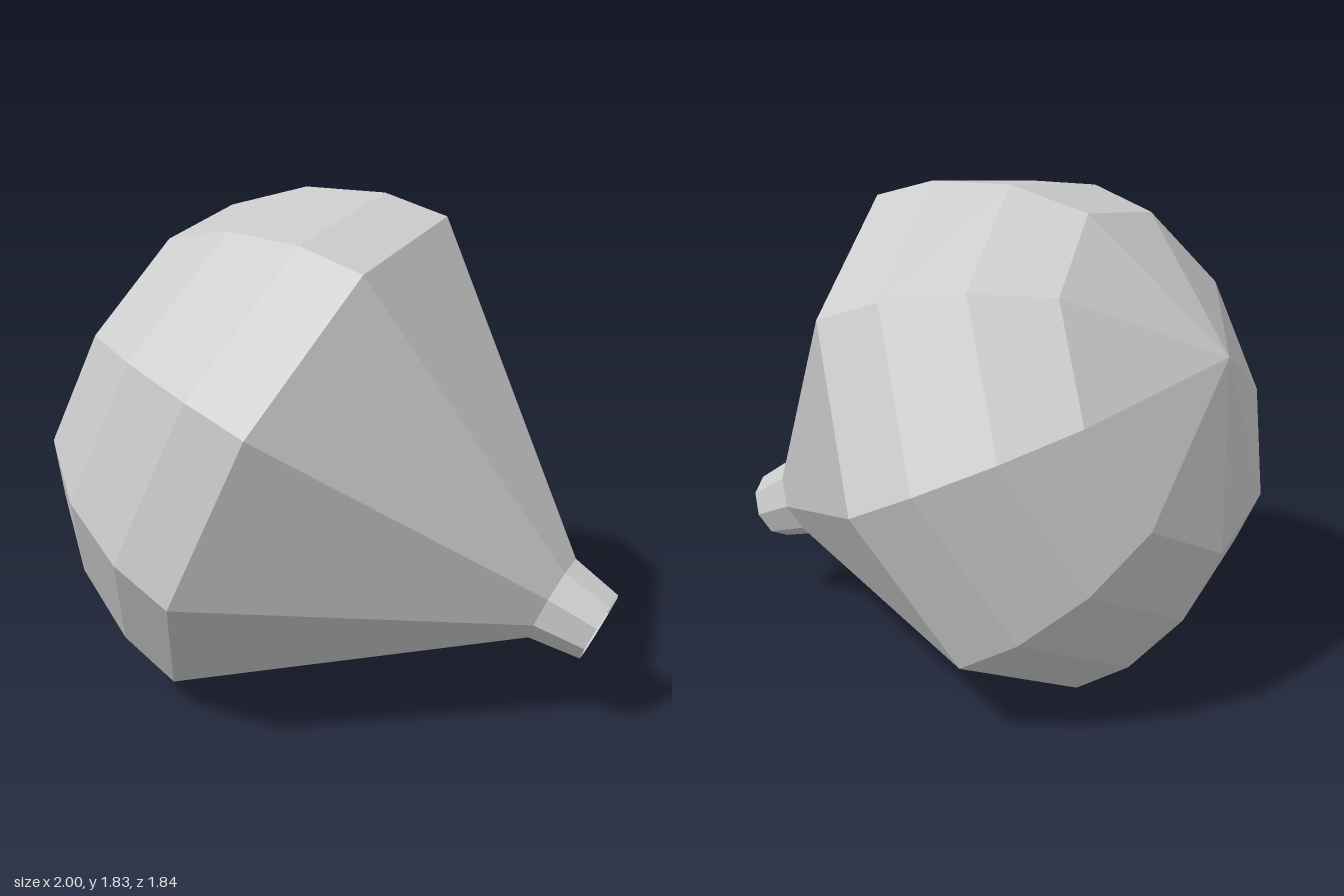
import * as THREE from 'three';

export function createModel() {
  const group = new THREE.Group();
  group.name = 'bulb';

  const material = new THREE.MeshStandardMaterial({
    color: 0xcccccc, flatShading: true, side: THREE.DoubleSide,
  });

  // Nine-sided turned parts; profiles are [radius, height along the axis]
  const turned = (name, profile) => {
    const points = profile.map(([r, h]) => new THREE.Vector2(r, h));
    const mesh = new THREE.Mesh(new THREE.LatheGeometry(points, 9), material);
    mesh.name = name;
    group.add(mesh);
  };

  // Short open neck
  turned('neck', [[0.132, -1.183], [0.165, -0.993]]);
  // Cone widening from the neck to the widest ring
  turned('cone', [[0.165, -0.993], [0.983, 0]]);
  // Rounded dome closing in a shallow point
  turned('dome', [[0.983, 0], [0.948, 0.242], [0.827, 0.515], [0.633, 0.739], [0, 0.98]]);

  // Lay the axis over so the neck points down, forward and to the left
  const zAxis = new THREE.Vector3(-0.305, -0.8815, -0.31).normalize();
  const xAxis = new THREE.Vector3(-0.475, -0.133, 0.85).normalize();
  const yAxis = new THREE.Vector3().crossVectors(zAxis, xAxis).normalize();
  group.quaternion.setFromRotationMatrix(new THREE.Matrix4().makeBasis(xAxis, yAxis, zAxis));
  group.position.set(-0.04, 0.882, 0.039);

  const root = new THREE.Group();
  root.name = 'model';
  root.add(group);
  return root;
}
